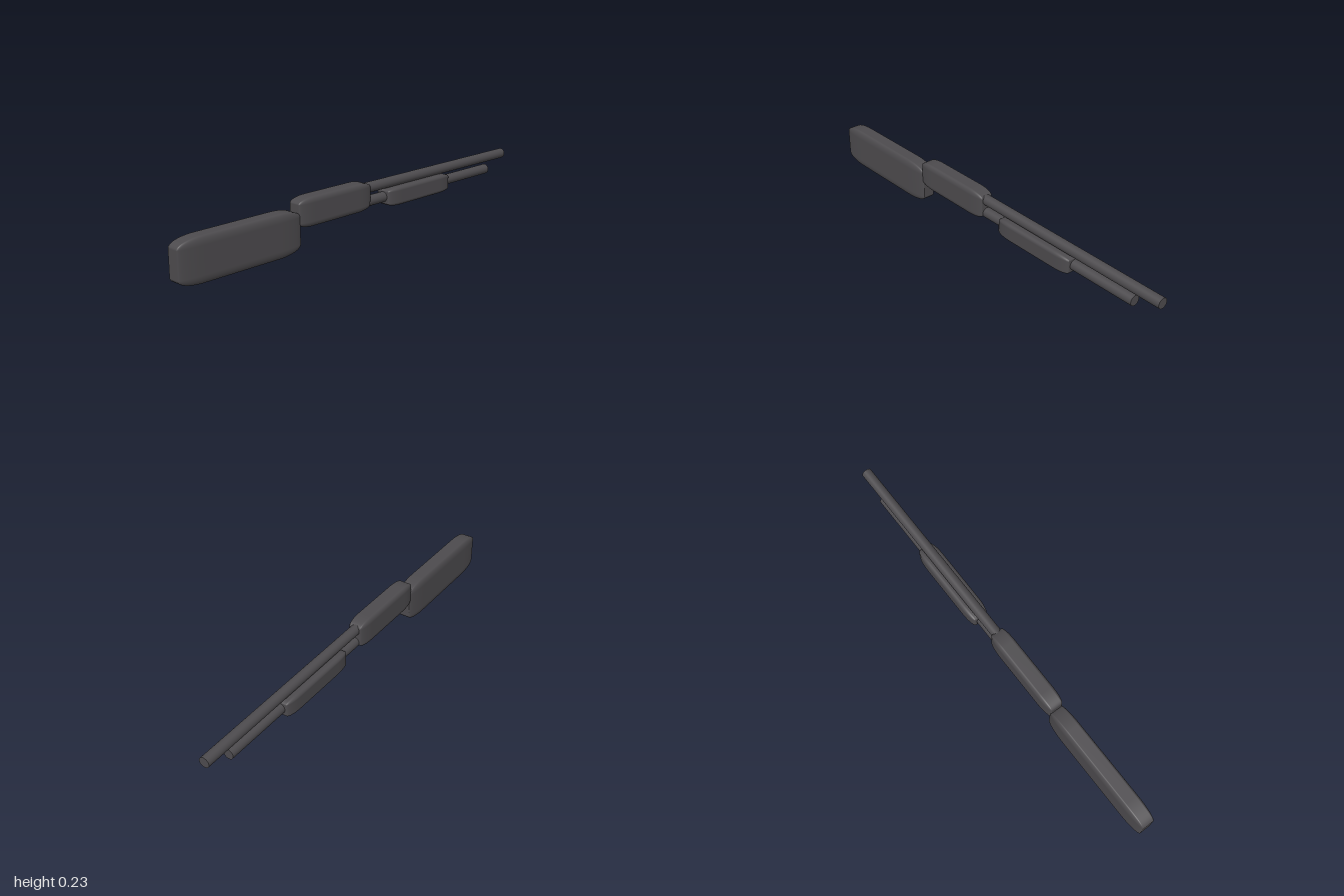
import * as THREE from 'three';
import { RoundedBoxGeometry } from 'three/addons/geometries/RoundedBoxGeometry.js';

export function createModel() {
  const model = new THREE.Group();
  const gunmetal = new THREE.MeshStandardMaterial({ color: 0x4d4b4e });
  gunmetal.name = 'gunmetal';

  const add = (name, geometry) => {
    const mesh = new THREE.Mesh(geometry, gunmetal);
    mesh.name = name;
    model.add(mesh);
  };

  // Softly bevelled block whose rounding stretches with its length
  const block = (name, x0, x1, y0, y1, depth) => {
    const g = new RoundedBoxGeometry(1, 1, 1, 5, 0.19);
    g.scale(x1 - x0, y1 - y0, depth);
    g.translate((x0 + x1) / 2, (y0 + y1) / 2, 0);
    add(name, g);
  };

  // Round bar along x, dropping very slightly towards its free end
  const bar = (name, x0, y0, x1, y1, radius) => {
    const g = new THREE.CylinderGeometry(radius, radius, Math.hypot(x1 - x0, y1 - y0), 32);
    g.rotateZ(Math.atan2(y1 - y0, x1 - x0) - Math.PI / 2);
    g.translate((x0 + x1) / 2, (y0 + y1) / 2, 0);
    add(name, g);
  };

  block('stock', -1, -0.39, 0, 0.188, 0.08);
  block('receiver', -0.4, 0.02, 0.1, 0.226, 0.08);
  block('foreEnd', 0.13, 0.55, 0.085, 0.17, 0.09);

  bar('barrel', -0.05, 0.191, 1, 0.187, 0.0235);
  bar('magazineTube', -0.05, 0.13, 0.87, 0.128, 0.0235);

  return model;
}
